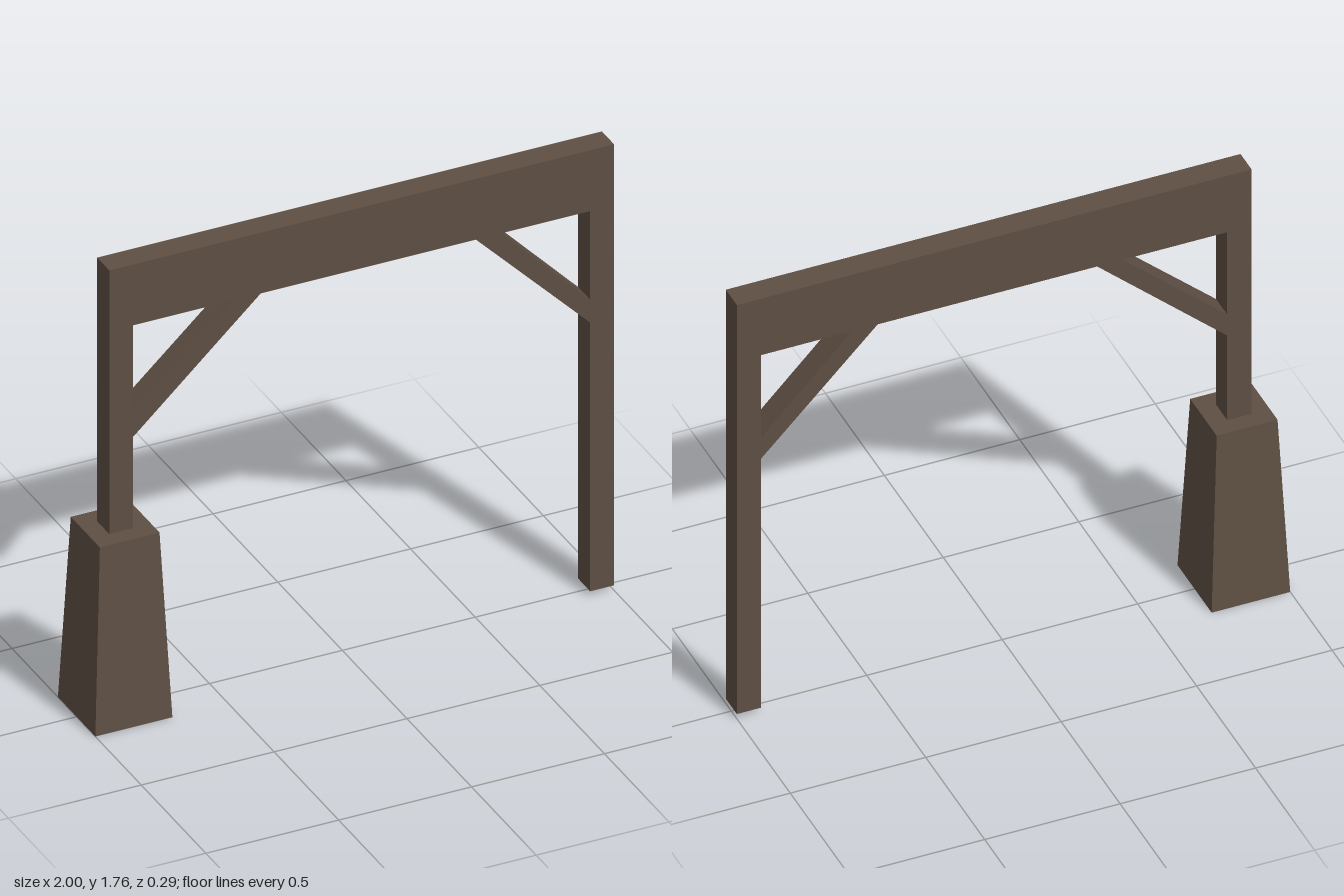
import * as THREE from 'three';

const DEPTH = 0.094;

// Box between two x and two y values; drop lists face numbers to leave open
// (2 = top, 3 = bottom)
function openBox(x0, x1, y0, y1, depth, drop = []) {
  const g = new THREE.BoxGeometry(x1 - x0, y1 - y0, depth);
  const index = Array.from(g.index.array);
  g.setIndex(index.filter((_, i) => !drop.includes(Math.floor(i / 6))));
  g.clearGroups();
  g.translate((x0 + x1) / 2, (y0 + y1) / 2, 0);
  return g;
}

// Diagonal brace as a slanted outline, flush with the frame
function brace(points) {
  const shape = new THREE.Shape(points.map(([x, y]) => new THREE.Vector2(x, y)));
  const g = new THREE.ExtrudeGeometry(shape, { depth: DEPTH, bevelEnabled: false });
  return g.translate(0, 0, -DEPTH / 2);
}

// Pedestal: box narrowing towards the top, open underneath
function taperedPedestal() {
  const g = openBox(-0.145, 0.145, 0, 0.72, 0.29, [3]);
  const p = g.attributes.position;
  for (let i = 0; i < p.count; i++) {
    if (p.getY(i) > 0.5) {
      p.setX(i, p.getX(i) * 0.775);
      p.setZ(i, p.getZ(i) * 0.775);
    }
  }
  g.computeVertexNormals();
  return g.translate(-0.855, 0, 0);
}

export function createModel() {
  const group = new THREE.Group();
  group.name = 'timberFrame';
  const wood = new THREE.MeshStandardMaterial({ color: 0x5e4f43, side: THREE.DoubleSide });
  wood.name = 'darkWood';

  const add = (name, geometry) => {
    const mesh = new THREE.Mesh(geometry, wood);
    mesh.name = name;
    group.add(mesh);
  };

  // Beam and posts
  add('beam', openBox(-0.9, 1, 1.52, 1.76, DEPTH));
  add('shortPost', openBox(-0.9, -0.81, 0.72, 1.52, DEPTH, [2, 3]));
  add('longPost', openBox(0.91, 1, 0.02, 1.52, DEPTH, [2, 3]));

  // Diagonal braces
  add('rightBrace', brace([[-0.81, 1.08], [-0.33, 1.52], [-0.425, 1.52], [-0.81, 1.17]]));
  add('leftBrace', brace([[0.91, 1.08], [0.91, 1.17], [0.575, 1.52], [0.48, 1.52]]));

  // Pedestal under the short post
  add('pedestal', taperedPedestal());
  return group;
}
